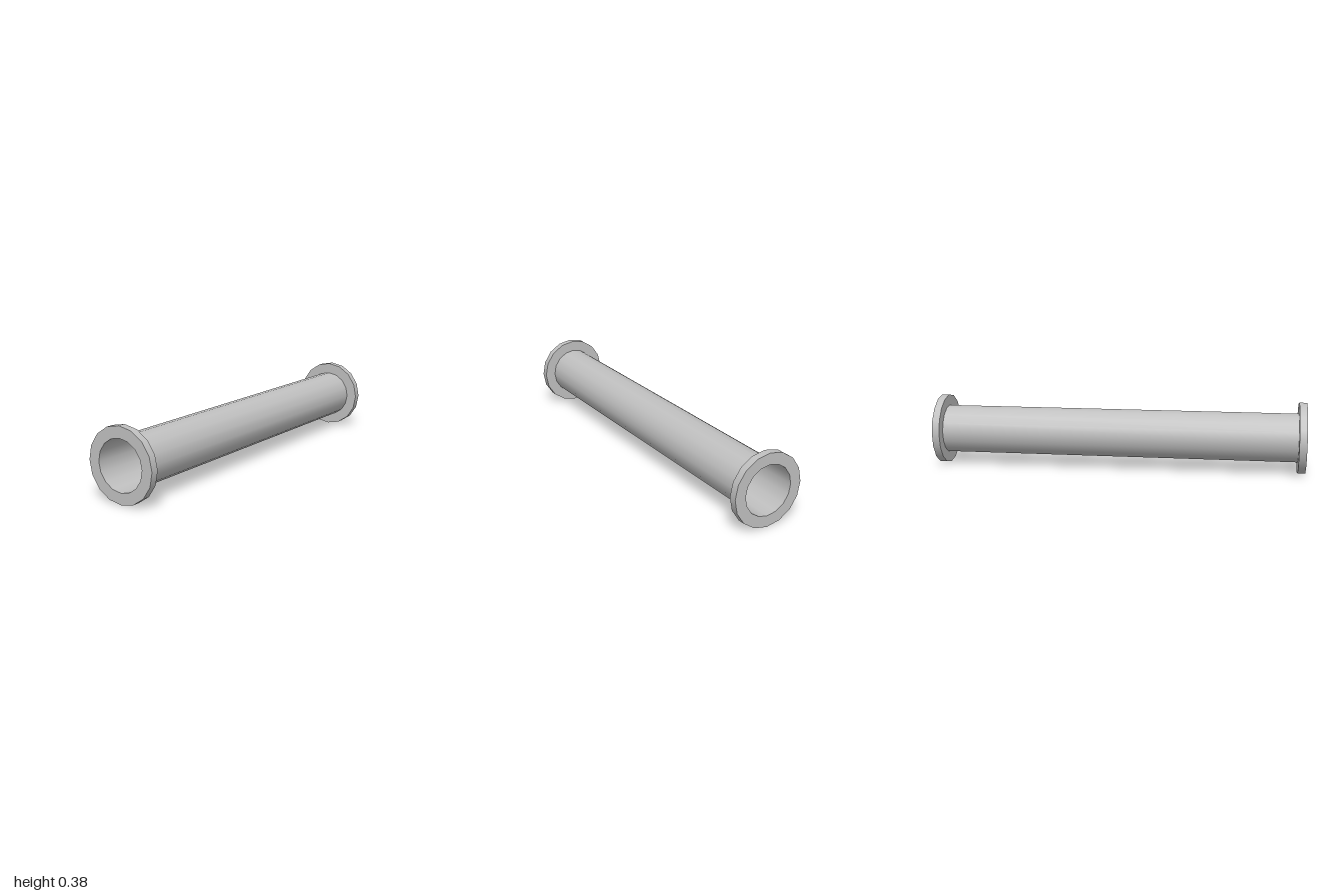
import * as THREE from 'three';

const SIDES = 16;
const BORE = 0.131;   // pipe radius
const RIM = 0.19;     // flange radius
const FLANGE = 0.04;  // flange thickness
const HALF = 1;       // half the overall length

export function createModel() {
  const model = new THREE.Group();
  model.name = 'flangedPipe';
  const steel = new THREE.MeshStandardMaterial({ color: 0xc0c0c0, side: THREE.DoubleSide });
  steel.name = 'grey steel';

  const add = (parent, name, geometry, z = 0) => {
    const mesh = new THREE.Mesh(geometry, steel);
    mesh.name = name;
    mesh.position.z = z;
    parent.add(mesh);
    return mesh;
  };
  // Open tube lying along z
  const tube = (radius, length) =>
    new THREE.CylinderGeometry(radius, radius, length, SIDES, 1, true).rotateX(Math.PI / 2);

  // Thin-walled pipe between the flanges
  add(model, 'pipe', tube(BORE, 2 * (HALF - FLANGE)));

  // One flange at each end
  for (const end of [1, -1]) {
    const flange = new THREE.Group();
    flange.name = end > 0 ? 'frontFlange' : 'backFlange';
    flange.position.z = end * (HALF - FLANGE / 2);
    add(flange, 'flangeRim', tube(RIM, FLANGE));
    // Bore wall, turned to face inwards
    const bore = tube(BORE, FLANGE);
    const index = bore.index.array;
    for (let i = 0; i < index.length; i += 3) [index[i], index[i + 1]] = [index[i + 1], index[i]];
    const normals = bore.attributes.normal.array;
    for (let i = 0; i < normals.length; i++) normals[i] *= -1;
    add(flange, 'flangeBore', bore);
    for (const side of [1, -1]) {
      const face = new THREE.RingGeometry(BORE, RIM, SIDES);
      if (side < 0) face.rotateY(Math.PI);
      add(flange, side === end ? 'flangeOuterFace' : 'flangeInnerFace', face, side * FLANGE / 2);
    }
    model.add(flange);
  }

  model.children.forEach((part) => { part.position.y = RIM; });
  return model;
}
